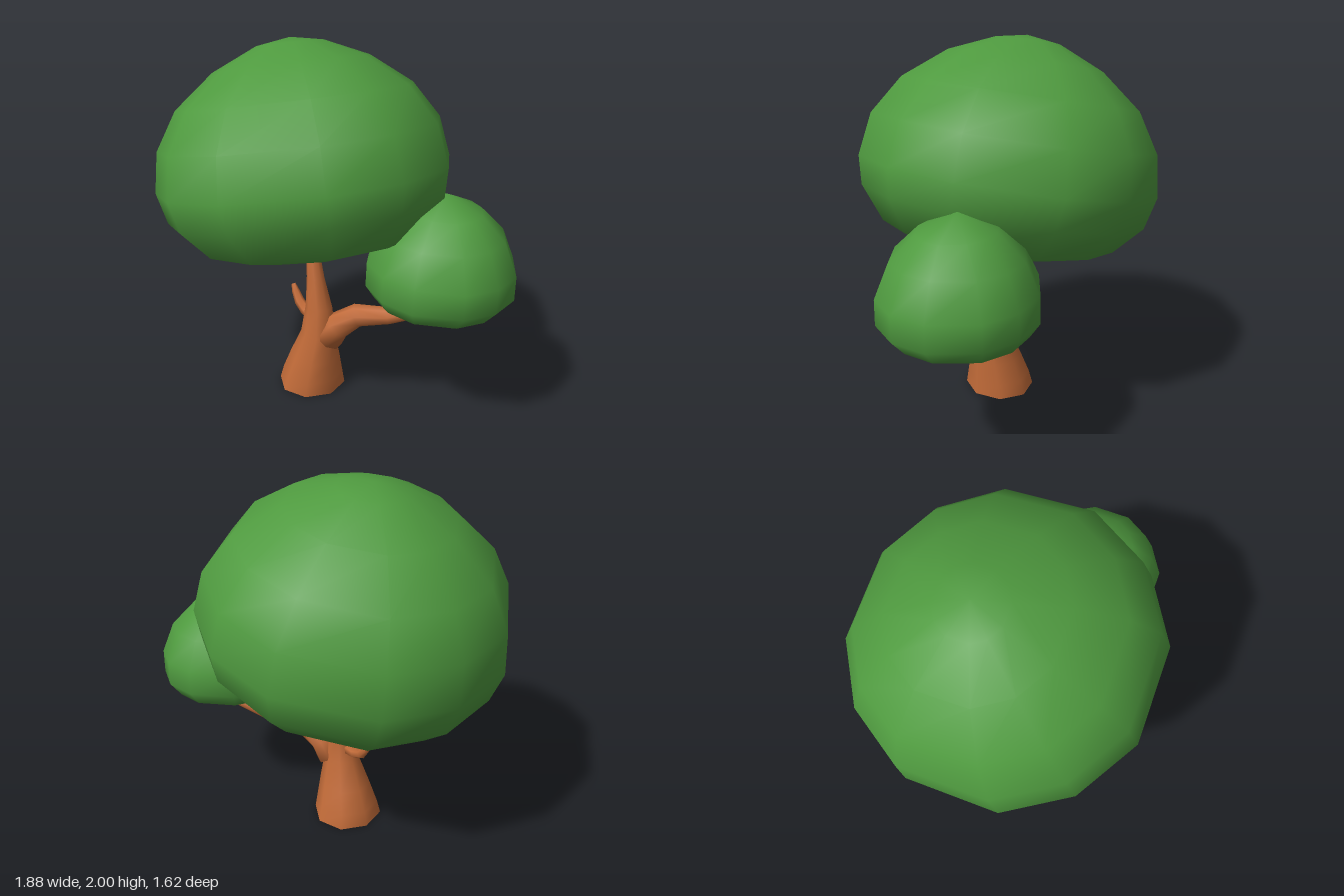
import * as THREE from 'three';

const V = (x, y, z = 0) => new THREE.Vector3(x, y, z);

// Smooth skin over a stack of closed loops, with a pole point at each end
function loft(loops, start, end) {
  const n = loops[0].length;
  const points = [start, ...loops.flat(), end];
  const last = points.length - 1;
  const index = [];
  for (let j = 0; j < n; j++) {
    const k = (j + 1) % n;
    index.push(0, 1 + j, 1 + k);
    for (let i = 0; i < loops.length - 1; i++) {
      const a = 1 + i * n + j, b = 1 + i * n + k;
      index.push(a, a + n, b, b, a + n, b + n);
    }
    index.push(last, last - n + k, last - n + j);
  }
  const g = new THREE.BufferGeometry().setFromPoints(points);
  g.setIndex(index);
  g.computeVertexNormals();
  return g;
}

// Ring angles of the foliage: twelve sides, slightly squared
const leafAngles = [];
for (let q = 0; q < 4; q++) for (const d of [0, 27, 63]) leafAngles.push(THREE.MathUtils.degToRad(q * 90 + d));

// Tilted foliage: each row is left x, y, right x, y, half depth
function foliage(rows, bottom, top, z) {
  const loops = rows.map(([lx, ly, rx, ry, rz]) => leafAngles.map((a) => V(
    (lx + rx) / 2 + Math.cos(a) * (rx - lx) / 2,
    (ly + ry) / 2 + Math.cos(a) * (ry - ly) / 2,
    z + Math.sin(a) * rz)));
  return loft(loops, bottom, top);
}

// Tapered limb along a path: each row is x, y, z, radius
function limb(rows, sides) {
  const c = rows.map(([x, y, z]) => V(x, y, z));
  const side = V(0, 0, 1);
  const loops = c.map((p, i) => {
    const t = c[Math.min(i + 1, c.length - 1)].clone().sub(c[Math.max(i - 1, 0)]).normalize();
    const v = side.clone().addScaledVector(t, -side.dot(t)).normalize();
    const u = t.clone().cross(v);
    return Array.from({ length: sides }, (_, j) => {
      const a = j / sides * Math.PI * 2;
      return p.clone().addScaledVector(u, Math.cos(a) * rows[i][3]).addScaledVector(v, Math.sin(a) * rows[i][3]);
    });
  });
  return loft(loops, c[0], c[c.length - 1]);
}

export function createModel() {
  const tree = new THREE.Group();
  tree.name = 'tree';
  const leaf = new THREE.MeshStandardMaterial({ name: 'leaf green', color: 0x4f9a3f });
  const bark = new THREE.MeshStandardMaterial({ name: 'bark brown', color: 0xc06a38 });
  const wood = new THREE.MeshStandardMaterial({ name: 'cut wood', color: 0xa38a63 });
  const add = (name, geometry, material) => {
    const mesh = new THREE.Mesh(geometry, material);
    mesh.name = name;
    tree.add(mesh);
  };

  // Large tilted crown
  add('mainCrown', foliage([
    [-0.48, 0.82, 0.35, 0.99, 0.42],
    [-0.72, 0.84, 0.56, 1.10, 0.63],
    [-0.87, 0.96, 0.65, 1.30, 0.77],
    [-0.94, 1.13, 0.65, 1.45, 0.81],
    [-0.94, 1.35, 0.57, 1.66, 0.77],
    [-0.86, 1.57, 0.40, 1.83, 0.64],
    [-0.68, 1.78, 0.15, 1.95, 0.42],
    [-0.45, 1.94, -0.11, 2.0, 0.18],
  ], V(-0.07, 0.9), V(-0.28, 2.0), 0), leaf);

  // Small crown on the branch
  add('smallCrown', foliage([
    [0.32, 0.69, 0.75, 0.67, 0.22],
    [0.20, 0.74, 0.87, 0.71, 0.34],
    [0.15, 0.82, 0.94, 0.79, 0.395],
    [0.15, 0.95, 0.94, 0.92, 0.39],
    [0.22, 1.10, 0.87, 1.09, 0.32],
    [0.35, 1.23, 0.75, 1.21, 0.19],
  ], V(0.55, 0.67, -0.375), V(0.55, 1.3, -0.375), -0.375), leaf);

  // Leaning trunk, flared at the foot: y, left x, right x, half depth
  const trunk = [
    [0, -0.28, 0.10, 0.20], [0.08, -0.26, 0.095, 0.18], [0.2, -0.21, 0.09, 0.145],
    [0.36, -0.135, 0.08, 0.095], [0.53, -0.10, 0.06, 0.075],
    [0.7, -0.105, 0.0, 0.05], [0.95, -0.125, -0.065, 0.03],
  ].map(([y, l, r, d]) => Array.from({ length: 8 }, (_, j) => {
    const a = j / 8 * Math.PI * 2;
    return V((l + r) / 2 + Math.cos(a) * (r - l) / 2, y, Math.sin(a) * d);
  }));
  // The foot is closed by its own cut face, so the bark starts on the rim
  const trunkSkin = loft(trunk, V(-0.09, 0.02), V(-0.095, 0.96));
  trunkSkin.setIndex(Array.from(trunkSkin.index.array).filter((_, i, all) => {
    const f = i - i % 3;
    return all[f] !== 0;
  }));
  trunkSkin.computeVertexNormals();
  add('trunk', trunkSkin, bark);

  const base = new THREE.CircleGeometry(1, 8);
  base.rotateX(Math.PI / 2).scale(0.19, 1, 0.2).translate(-0.09, 0, 0);
  add('trunkBase', base, wood);

  // Long branch towards the back left, and a short twig on the right
  add('branch', limb([
    [0.03, 0.34, -0.03, 0.09], [0.08, 0.43, -0.06, 0.08], [0.17, 0.515, -0.13, 0.066],
    [0.31, 0.54, -0.24, 0.05], [0.47, 0.6, -0.38, 0.03], [0.56, 0.70, -0.45, 0.018],
  ], 8), bark);
  add('twig', limb([
    [-0.06, 0.435, 0, 0.04], [-0.16, 0.445, 0, 0.033], [-0.22, 0.475, 0, 0.03],
    [-0.26, 0.525, 0, 0.023], [-0.285, 0.565, 0, 0.013],
  ], 6), bark);

  return tree;
}
